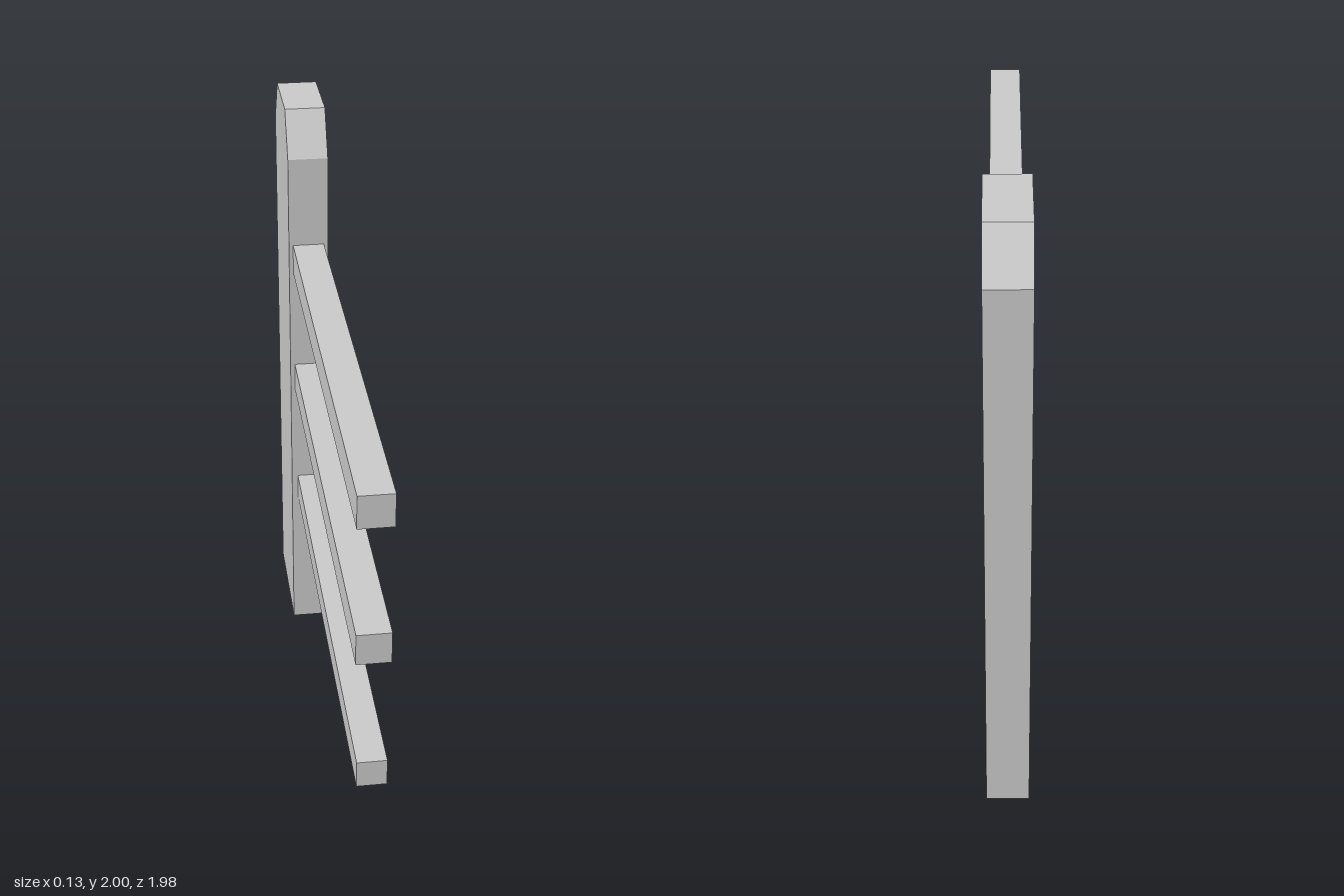
import * as THREE from 'three';

export function createModel() {
  const group = new THREE.Group();
  const material = new THREE.MeshStandardMaterial({ color: 0xcccccc, flatShading: true });

  // Post: side profile (z, y) with chamfered top, extruded across x
  const width = 0.132;
  const profile = [[-0.99, 0], [-0.573, 0], [-0.573, 1.855], [-0.65, 2], [-0.904, 2], [-0.99, 1.855]];
  const shape = new THREE.Shape(profile.map(([z, y]) => new THREE.Vector2(z, y)));
  const postGeometry = new THREE.ExtrudeGeometry(shape, { depth: width, bevelEnabled: false });
  postGeometry.translate(0, 0, -width / 2);
  postGeometry.rotateY(-Math.PI / 2);
  const post = new THREE.Mesh(postGeometry, material);
  post.name = 'post';
  group.add(post);

  // Rails: square bars running forward from the post, slightly let into it
  const front = 0.99, back = -0.59;
  const rails = [
    ['lowerRail', 0.59, 0.09],
    ['middleRail', 1.045, 0.102],
    ['upperRail', 1.498, 0.104],
  ];
  for (const [name, y, size] of rails) {
    const rail = new THREE.Mesh(new THREE.BoxGeometry(size, size, front - back), material);
    rail.position.set(0, y, (front + back) / 2);
    rail.name = name;
    group.add(rail);
  }
  return group;
}
